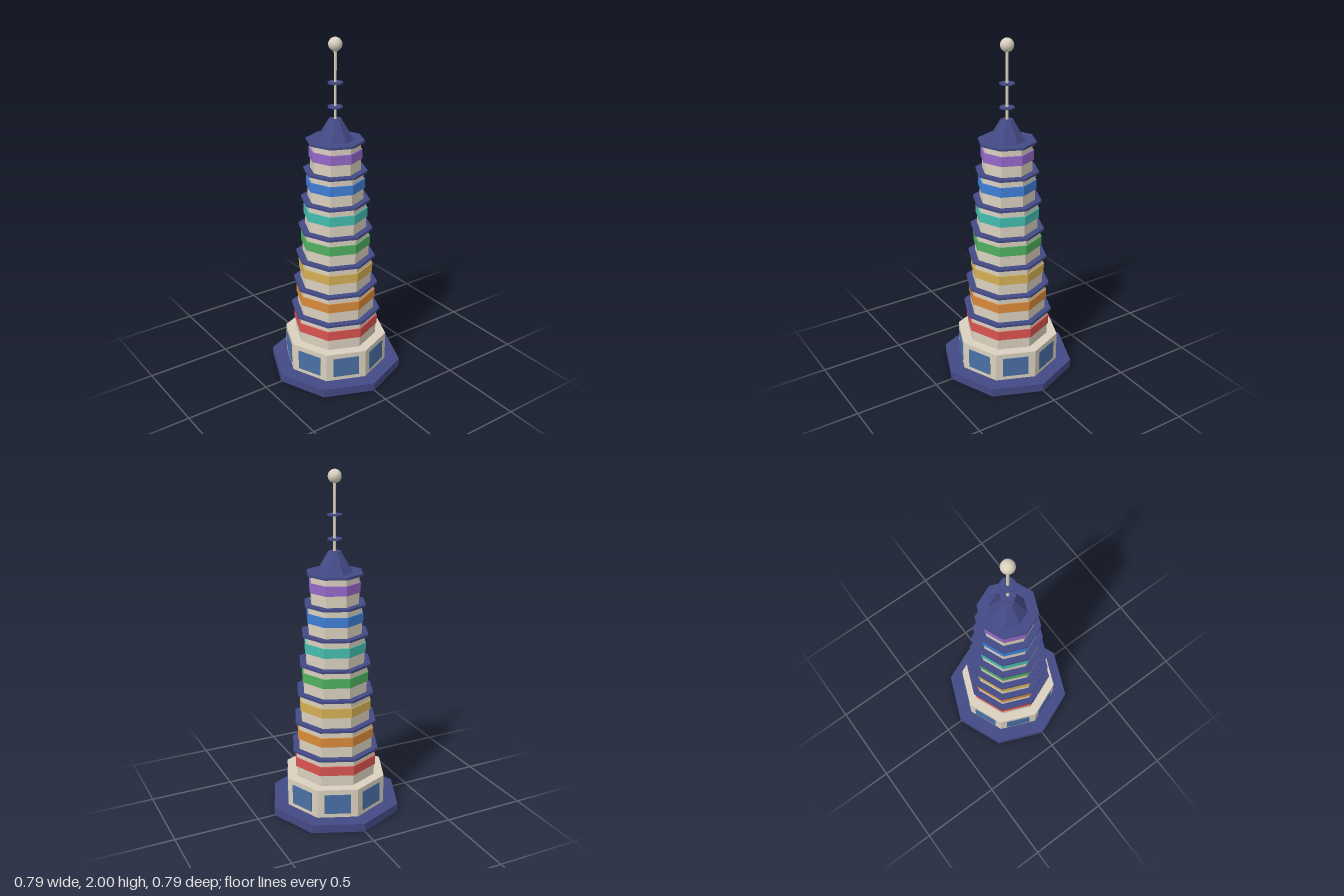
import * as THREE from 'three';

function material(name, color) {
  const m = new THREE.MeshStandardMaterial({ color });
  m.name = name;
  return m;
}

export function createModel() {
  const model = new THREE.Group();
  model.name = 'pagodaTower';

  const navy = material('navy', 0x434a86);
  const cream = material('cream', 0xdad0be);
  const glass = material('windowBlue', 0x4a6fa5);
  const bandColours = [
    material('red', 0xd9534f), material('orange', 0xd98a3a), material('yellow', 0xd4b056),
    material('green', 0x50b060), material('teal', 0x45bdb0), material('blue', 0x3f7fd6),
    material('purple', 0x9668c8),
  ];

  const add = (name, geometry, mat, y) => {
    const mesh = new THREE.Mesh(geometry, mat);
    mesh.name = name;
    mesh.position.y = y;
    model.add(mesh);
    return mesh;
  };

  // Flat-faced eight-sided block with corners on the x and z axes
  const octagon = (name, mat, bottom, top, radius, topRadius = radius) => {
    const smooth = new THREE.CylinderGeometry(topRadius, radius, top - bottom, 8);
    const flat = smooth.toNonIndexed();
    flat.computeVertexNormals();
    return add(name, flat, mat, (bottom + top) / 2);
  };

  // Plinth and ground floor
  const floorTop = 0.225, floorRadius = 0.306;
  octagon('plinth', navy, 0, 0.05, 0.395);
  octagon('groundFloor', cream, 0.05, floorTop, floorRadius);

  // One window plate on each ground floor wall
  const wallDistance = floorRadius * Math.cos(Math.PI / 8);
  for (let i = 0; i < 8; i++) {
    const angle = (i + 0.5) * Math.PI / 4;
    const pane = add('window', new THREE.BoxGeometry(0.152, 0.12, 0.008), glass, 0.135);
    pane.position.x = Math.sin(angle) * wallDistance;
    pane.position.z = Math.cos(angle) * wallDistance;
    pane.rotation.y = angle;
  }

  // Seven shrinking storeys, each with a coloured band and a thin eave
  const pitch = 0.1734;
  bandColours.forEach((colour, i) => {
    const y = floorTop + i * pitch;
    const shrink = i * 0.0168;
    octagon('storey', cream, y, y + pitch - 0.013, 0.245 - shrink);
    octagon('band', colour, y + 0.067, y + 0.122, 0.253 - shrink);
    octagon('eave', navy, y + pitch - 0.013, y + pitch, 0.267 - shrink);
  });

  // Roof cap and spire
  const roofBase = floorTop + 7 * pitch;
  octagon('roofCap', navy, roofBase, 1.555, 0.105, 0.036);
  add('spire', new THREE.CylinderGeometry(0.008, 0.008, 0.4, 12), cream, 1.745);
  for (const y of [1.622, 1.755]) octagon('spireRing', navy, y - 0.004, y + 0.004, 0.043);
  add('finial', new THREE.SphereGeometry(0.038, 20, 14), cream, 1.962);

  return model;
}
